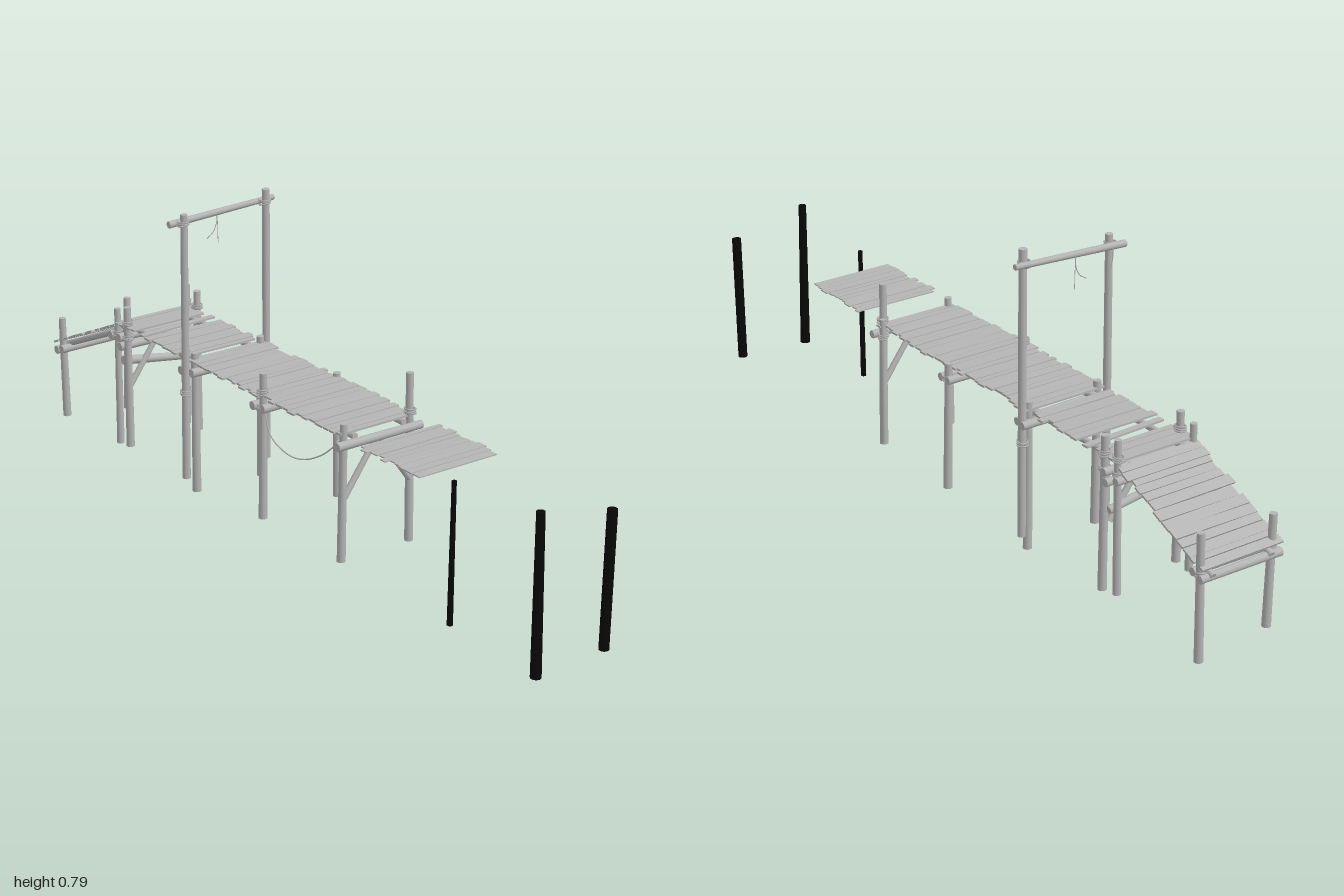
import * as THREE from 'three';

const wood = new THREE.MeshStandardMaterial({ color: 0xb4b4b4 });
wood.name = 'weathered wood';
const charred = new THREE.MeshStandardMaterial({ color: 0x080808 });
charred.name = 'charred wood';

// small seeded generator, returns -1..1
let seed = 7;
const rnd = () => {
  seed = (seed * 16807) % 2147483647;
  return (seed / 2147483647) * 2 - 1;
};
const V = (p) => new THREE.Vector3(...p);

export function createModel() {
  const model = new THREE.Group();
  model.name = 'brokenPier';

  const add = (name, geo, mat = wood) => {
    const m = new THREE.Mesh(geo, mat);
    m.name = name;
    model.add(m);
    return m;
  };

  // round timber between two points
  const log = (name, a, b, r0, r1 = r0, mat = wood) => {
    const A = V(a), B = V(b), d = B.clone().sub(A);
    const m = add(name, new THREE.CylinderGeometry(r1, r0, d.length(), 10), mat);
    m.position.copy(A).add(B).multiplyScalar(0.5);
    m.quaternion.setFromUnitVectors(new THREE.Vector3(0, 1, 0), d.normalize());
    return m;
  };

  // rope through a few points
  const rope = (name, pts, r = 0.0015) =>
    add(name, new THREE.TubeGeometry(new THREE.CatmullRomCurve3(pts.map(V)), 20, r, 5));

  // rope lashing wound around a post
  const lashing = (x, y, z, r) => {
    for (let i = -1; i <= 1; i++) {
      const m = add('lashing', new THREE.TorusGeometry(r, 0.0022, 5, 12));
      m.rotation.set(Math.PI / 2 + rnd() * 0.15, rnd() * 0.15, 0);
      m.position.set(x, y + i * 0.005, z);
    }
  };

  // upright posts: x, z, bottom, top, radius, lean in x
  const posts = [
    [0.1, 0.28, 0.05, 0.49, 0.0105, -0.002],
    [0.108, 0.268, 0.06, 0.4, 0.008, 0],
    [-0.103, 0.28, 0.05, 0.405, 0.0105, 0.003],
    [0.117, -0.03, 0.055, 0.39, 0.011, -0.002],
    [-0.112, -0.03, 0.055, 0.44, 0.0105, 0.002],
    [0.1, -0.335, 0.012, 0.4, 0.011, 0],
    [-0.104, -0.335, 0.02, 0.4, 0.011, 0],
    [0.112, -0.64, 0.04, 0.435, 0.0105, 0],
    [-0.108, -0.64, 0.045, 0.435, 0.0105, 0],
    [0.108, -0.685, 0.045, 0.44, 0.0095, 0.003],
    [-0.11, -0.685, 0.04, 0.42, 0.0095, 0],
    [0.1, -0.97, 0, 0.325, 0.0105, 0.003],
    [-0.104, -0.97, 0.025, 0.31, 0.0105, -0.003],
  ];
  for (const [x, z, y0, y1, r, lean] of posts)
    log('post', [x - lean, y0, z], [x + lean, y1, z], r * 1.08, r * 0.92);

  // hoisting frame
  log('framePost', [0.124, 0.055, -0.343], [0.122, 0.79, -0.338], 0.0105, 0.0105);
  log('framePost', [-0.13, 0.06, -0.343], [-0.128, 0.77, -0.338], 0.011, 0.0095);
  log('frameBeam', [-0.162, 0.744, -0.356], [0.158, 0.758, -0.356], 0.009, 0.0075);
  lashing(0.122, 0.756, -0.343, 0.0145);
  lashing(-0.128, 0.746, -0.343, 0.0145);
  lashing(-0.129, 0.295, -0.343, 0.0125);
  lashing(0.123, 0.3, -0.343, 0.0125);
  rope('hangingRope', [[-0.01, 0.75, -0.363], [-0.013, 0.72, -0.363], [-0.025, 0.698, -0.361], [-0.045, 0.685, -0.36]], 0.0012);
  rope('hangingRope', [[-0.011, 0.75, -0.363], [-0.009, 0.71, -0.364], [-0.008, 0.667, -0.364]], 0.0008);
  rope('hangingRope', [[-0.122, 0.75, -0.363], [-0.12, 0.715, -0.363], [-0.114, 0.692, -0.363]], 0.0012);

  // charred stumps standing in front
  log('charredPost', [-0.103, 0.03, 0.985], [-0.109, 0.435, 0.99], 0.0135, 0.0105, charred);
  log('charredPost', [0.1, 0.038, 0.985], [0.103, 0.385, 0.99], 0.0125, 0.0125, charred);
  log('charredPost', [-0.1, 0.038, 0.683], [-0.1, 0.4, 0.688], 0.0075, 0.006, charred);

  // cross beams under the deck, tied to the posts
  for (const [z, y, xl, xr] of [
    [0.293, 0.353, -0.13, 0.125], [-0.048, 0.353, -0.132, 0.132], [-0.016, 0.35, -0.125, 0.13],
    [-0.356, 0.353, -0.135, 0.135], [-0.322, 0.35, -0.125, 0.125],
    [-0.655, 0.352, -0.128, 0.128], [-0.7, 0.345, -0.125, 0.128], [-0.655, 0.322, -0.125, 0.122],
    [-0.984, 0.215, -0.12, 0.115], [-0.958, 0.228, -0.12, 0.115],
  ])
    log('crossBeam', [xl, y + rnd() * 0.003, z], [xr, y + rnd() * 0.003, z], 0.0115, 0.0105);
  for (const [x, z, y0, y1, r] of posts) {
    const y = z < -0.9 ? 0.222 : 0.353;
    lashing(x, y, z, r + 0.003);
    if (y1 > 0.42) lashing(x, 0.392, z, r + 0.003);
  }

  // angled braces below the deck
  for (const z of [0.282, -0.645])
    for (const s of [-1, 1])
      log('brace', [s * 0.1, 0.215, z], [s * 0.008, 0.342, z], 0.0085, 0.0075);
  log('slantedBrace', [-0.115, 0.285, -0.655], [0.11, 0.25, -0.655], 0.012, 0.01);

  // long stringers carrying the planks
  for (const s of [-1, 1]) {
    log('stringer', [s * 0.074, 0.37, 0.29], [s * 0.08, 0.37, -0.36], 0.0085);
    log('stringer', [s * 0.086, 0.37, -0.31], [s * 0.08, 0.37, -0.69], 0.008);
    log('rampStringer', [s * 0.085, 0.362, -0.675], [s * 0.085, 0.222, -0.995], 0.0085);
  }

  // uneven planks laid from z0 towards -z, sloping from y0 to y1
  const planks = (name, z0, z1, y0, y1, t, shift = 0) => {
    const tilt = Math.atan2(y0 - y1, z0 - z1);
    let z = z0;
    while (z - z1 > 0.008) {
      const w = Math.min(0.022 + rnd() * 0.007, z - z1);
      const k = (z0 - z + w / 2) / (z0 - z1);
      const m = add(name, new THREE.BoxGeometry(0.232 + rnd() * 0.01, t, (w - 0.0018) / Math.cos(tilt)));
      m.position.set(-0.004 + shift + rnd() * 0.006, y0 + (y1 - y0) * k + rnd() * 0.001, z - w / 2);
      m.rotation.set(-tilt + rnd() * 0.02, rnd() * 0.009, rnd() * 0.006);
      z -= w;
    }
  };
  planks('loosePlank', 0.6, 0.37, 0.384, 0.384, 0.003, -0.006);
  planks('deckPlank', 0.285, -0.345, 0.381, 0.381, 0.005);
  planks('deckPlank', -0.365, -0.54, 0.381, 0.381, 0.005);
  planks('deckPlank', -0.6, -0.685, 0.381, 0.381, 0.005);
  planks('rampPlank', -0.685, -0.992, 0.376, 0.238, 0.005);

  // one skewed plank left in the gap
  const skew = add('skewedPlank', new THREE.BoxGeometry(0.235, 0.005, 0.018));
  skew.position.set(0, 0.381, -0.567);
  skew.rotation.y = 0.05;

  // slack rope between two posts
  rope('slackRope', [[-0.105, 0.355, 0.268], [-0.118, 0.31, 0.22], [-0.122, 0.272, 0.14],
    [-0.122, 0.268, 0.08], [-0.118, 0.29, 0.01], [-0.114, 0.34, -0.02]], 0.0018);

  return model;
}
